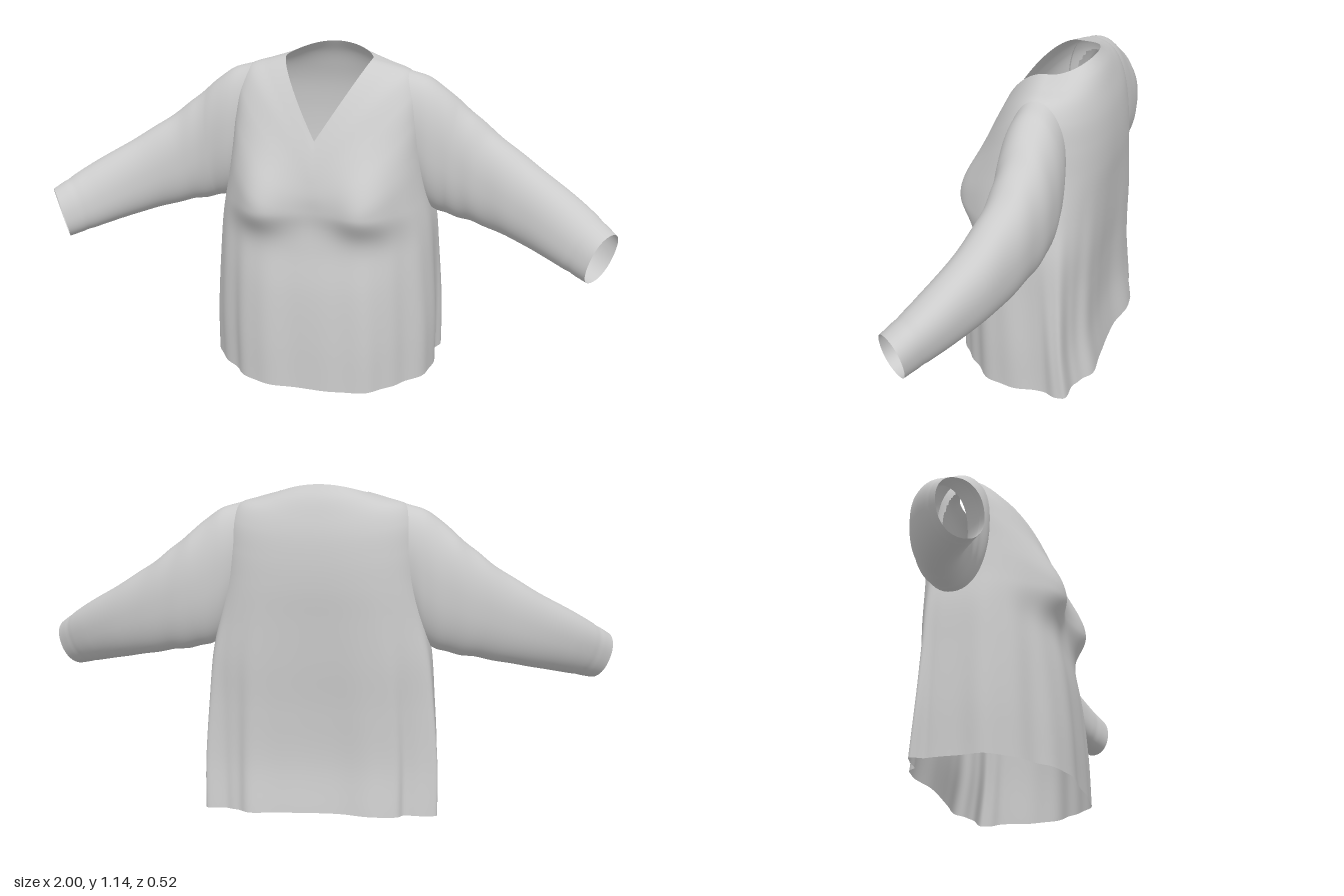
import * as THREE from 'three';

const material = new THREE.MeshStandardMaterial({ color: 0xcccccc, side: THREE.DoubleSide });
const { lerp, smoothstep } = THREE.MathUtils;
const V = (x, y, z) => new THREE.Vector3(x, y, z);
const curve = (pts) => new THREE.CatmullRomCurve3(pts.map((p) => V(...p)));
const spow = (v, e) => Math.sign(v) * Math.pow(Math.abs(v), e);
const gauss = (d, s) => Math.exp(-(d * d) / (s * s));

// Open tube through closed rings: point(t, a) gives the surface, skip(p) leaves holes
function loft(name, rows, cols, point, flip = false, skip = () => false) {
  const pts = [], index = [];
  for (let i = 0; i <= rows; i++) {
    for (let j = 0; j < cols; j++) pts.push(point(i / rows, (j / cols) * Math.PI * 2));
  }
  for (let i = 0; i < rows; i++) {
    for (let j = 0; j < cols; j++) {
      const a = i * cols + j, b = i * cols + ((j + 1) % cols), c = a + cols, d = b + cols;
      if (skip(pts[a])) continue;
      if (flip) index.push(a, c, b, b, c, d);
      else index.push(a, b, c, b, d, c);
    }
  }
  const geometry = new THREE.BufferGeometry().setFromPoints(pts);
  geometry.setIndex(index);
  geometry.computeVertexNormals();
  const mesh = new THREE.Mesh(geometry, material);
  mesh.name = name;
  return mesh;
}

// Body guide lines from hem to neckline: side seam, centre front, centre back
const side = curve([
  [0.4, 0.025, -0.12], [0.4, 0.2, -0.115], [0.39, 0.4, -0.1], [0.378, 0.56, -0.085], [0.352, 0.7, -0.072],
  [0.335, 0.82, -0.066], [0.328, 0.93, -0.066], [0.316, 1.02, -0.066], [0.285, 1.07, -0.066],
  [0.22, 1.093, -0.062], [0.15, 1.112, -0.052],
]);
const front = curve([
  [0, 0.005, 0.266], [0, 0.18, 0.26], [0, 0.36, 0.245], [0, 0.5, 0.222], [0, 0.58, 0.213],
  [0, 0.64, 0.215], [0, 0.69, 0.215], [0, 0.74, 0.207], [0, 0.78, 0.197], [0, 0.83, 0.18], [0, 0.87, 0.163],
]);
const back = curve([
  [0, 0.035, -0.25], [0, 0.2, -0.228], [0, 0.38, -0.228], [0, 0.55, -0.237], [0, 0.7, -0.243],
  [0, 0.81, -0.248], [0, 0.9, -0.246], [0, 0.98, -0.237], [0, 1.04, -0.222], [0, 1.1, -0.2], [0, 1.145, -0.17],
]);

function bodyPoint(t, a) {
  const s = Math.sin(a), c = Math.cos(a), isFront = c > 0;
  const sd = side.getPoint(t), end = (isFront ? front : back).getPoint(t);
  const e = isFront ? lerp(0.8, 1, smoothstep(t, 0.45, 0.85)) : lerp(0.66, 1, smoothstep(t, 0.25, 0.95));
  // the front edge sharpens into a V towards the neckline
  const vee = isFront ? smoothstep(t, 0.45, 0.85) : 0;
  const ramp = 1 - Math.abs(s);
  const p = V(
    sd.x * spow(s, e),
    lerp(sd.y, end.y, lerp(c * c, ramp, vee)),
    lerp(sd.z, end.z, lerp(Math.pow(Math.abs(c), e), ramp, 0.4 * vee)),
  );
  // drape folds, deepest at the hem
  const drape = 1 - smoothstep(p.y, 0.05, 0.85);
  const depth = lerp(0.045, 0.025, smoothstep(c, -0.4, 0.4));
  const k = 1 + drape * (-depth * Math.cos(8 * a) + 0.01 * Math.sin(19 * a + 2 * p.y));
  p.x *= k;
  p.z *= k;
  // bust
  if (isFront) {
    const dy = p.y - 0.635;
    p.z += 0.062 * gauss(Math.abs(p.x) - 0.19, 0.11) * gauss(dy, dy < 0 ? 0.075 : 0.17);
  }
  return p;
}

// Sleeve guide lines from shoulder to cuff: top edge, bottom edge, half depth (x)
const sleeveTop = curve([
  [0.275, 1.076, -0.068], [0.35, 1.052, -0.072], [0.45, 0.975, -0.078], [0.56, 0.885, -0.065],
  [0.71, 0.785, -0.02], [0.86, 0.695, 0.052], [0.975, 0.615, 0.13],
]);
const sleeveBottom = curve([
  [0.31, 0.68, -0.068], [0.355, 0.605, -0.072], [0.42, 0.578, -0.078], [0.52, 0.558, -0.065],
  [0.66, 0.525, -0.02], [0.79, 0.49, 0.05], [0.925, 0.45, 0.135],
]);
const sleeveDepth = curve([
  [0.098, 0, 0], [0.106, 0, 0], [0.102, 0, 0], [0.094, 0, 0], [0.087, 0, 0], [0.081, 0, 0], [0.07, 0, 0],
]);

function sleevePoint(mirror, t, a) {
  const top = sleeveTop.getPoint(t), bottom = sleeveBottom.getPoint(t);
  const centre = top.clone().add(bottom).multiplyScalar(0.5);
  const up = top.clone().sub(centre);
  const along = sleeveTop.getTangent(t);
  const across = V(-along.z, 0, along.x).normalize().multiplyScalar(sleeveDepth.getPoint(t).x);
  // slanted wrinkles around the elbow and a shallow cuff seam
  const wrinkle = 1 + 0.01 * Math.sin(40 * t + 3 * Math.cos(a - 0.6)) * gauss(t - 0.45, 0.22)
    - 0.02 * gauss(t - 0.93, 0.012);
  const p = centre
    .addScaledVector(up, spow(Math.cos(a), 0.9) * wrinkle)
    .addScaledVector(across, spow(Math.sin(a), 0.9) * wrinkle);
  p.x *= mirror;
  return p;
}

export function createModel() {
  const group = new THREE.Group();
  group.name = 'blouse';
  // body with open hem, neckline and armholes
  const inArmhole = (p) =>
    Math.abs(p.x) > 0.27 && ((p.y - 0.86) / 0.15) ** 2 + ((p.z + 0.068) / 0.075) ** 2 < 1;
  group.add(loft('body', 110, 160, bodyPoint, false, inArmhole));
  // sleeves
  for (const m of [1, -1]) {
    group.add(loft(m > 0 ? 'leftSleeve' : 'rightSleeve', 90, 56, (t, a) => sleevePoint(m, t, a), m < 0));
  }
  return group;
}
